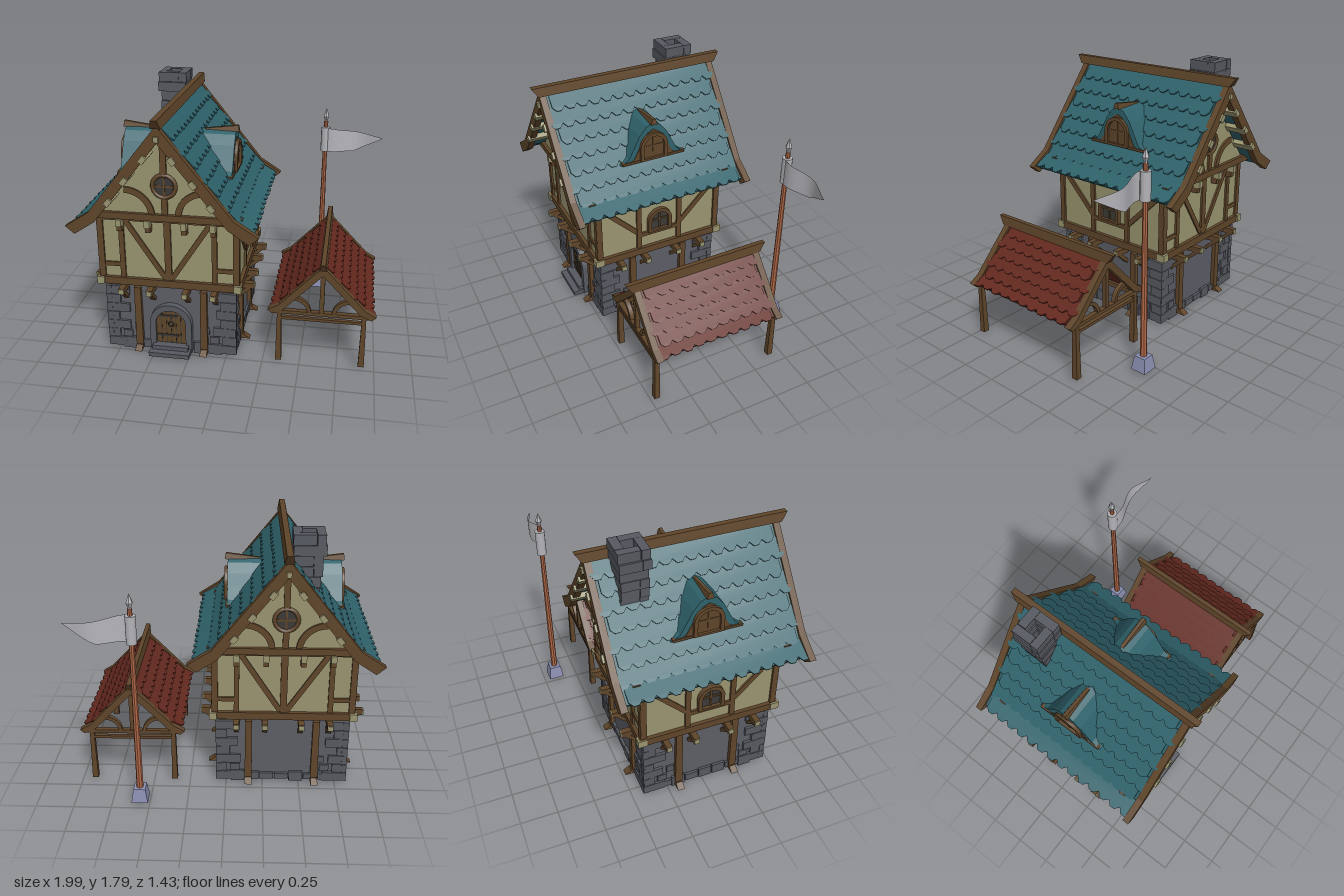
import * as THREE from 'three';

const mat = (name, color, side = THREE.FrontSide) => {
  const m = new THREE.MeshStandardMaterial({ color, side });
  m.name = name;
  return m;
};

export function createModel() {
  const teal = mat('teal tiles', 0x2f626b), red = mat('red tiles', 0x64291f), wood = mat('timber', 0x5f452a),
    cream = mat('plaster', 0x99946f), panel = mat('stone wall', 0x5c5e66), stone = mat('stone blocks', 0x565960),
    copper = mat('pole wood', 0xb06848), silver = mat('flag cloth', 0xb4b4ba, THREE.DoubleSide),
    lilac = mat('pole foot', 0x8a8eb0), dark = mat('dark glass', 0x3b3a37);
  let seed = 7;
  const rnd = () => (seed = (seed * 16807) % 2147483647) / 2147483647;

  const root = new THREE.Group();
  root.name = 'timberHouse';
  const group = (name, parent, x = 0, y = 0, z = 0, ry = 0) => {
    const g = new THREE.Group();
    g.name = name; g.position.set(x, y, z); g.rotation.y = ry;
    parent.add(g);
    return g;
  };
  const add = (parent, name, geo, m, x = 0, y = 0, z = 0) => {
    const o = new THREE.Mesh(geo, m);
    o.name = name; o.position.set(x, y, z);
    parent.add(o);
    return o;
  };
  const box = (p, name, m, w, h, d, x, y, z) => add(p, name, new THREE.BoxGeometry(w, h, d), m, x, y, z);
  // box whose top is scaled by tx, tz; origin at its foot
  const taper = (p, name, m, w, h, d, tx, tz, x, y, z) => {
    const g = new THREE.BoxGeometry(w, h, d).translate(0, h / 2, 0), a = g.attributes.position;
    for (let i = 0; i < a.count; i++) if (a.getY(i) > h / 2) a.setXYZ(i, a.getX(i) * tx, h, a.getZ(i) * tz);
    g.computeVertexNormals();
    return add(p, name, g, m, x, y, z);
  };
  // timber lying on a wall plane from one point to another
  const bar = (p, name, x1, y1, x2, y2, w = 0.035, t = 0.03, m = wood, z = 0) => {
    const o = box(p, name, m, w, Math.hypot(x2 - x1, y2 - y1), t, (x1 + x2) / 2, (y1 + y2) / 2, z);
    o.rotation.z = -Math.atan2(x2 - x1, y2 - y1);
    return o;
  };
  const extrude = (shape, depth) => new THREE.ExtrudeGeometry(shape, { depth, bevelEnabled: false, curveSegments: 10 });
  const poly = pts => new THREE.Shape(pts.map(p => new THREE.Vector2(p[0], p[1])));
  const mirrored = pts => [...pts, ...pts.filter(p => p[0] !== 0).reverse().map(p => [-p[0], p[1]])];
  const arc = (p, name, cx, cy, r, w, a0, a1, t = 0.03, z = -0.015) => {
    const s = new THREE.Shape().absarc(cx, cy, r + w / 2, a0, a1, false);
    s.absarc(cx, cy, r - w / 2, a1, a0, true);
    return add(p, name, extrude(s, t), wood, 0, 0, z);
  };
  const archPath = (S, hw, y0, ySpring) => {
    const s = new S();
    s.moveTo(-hw, y0); s.lineTo(hw, y0); s.lineTo(hw, ySpring);
    s.absarc(0, ySpring, hw, 0, Math.PI, false);
    s.lineTo(-hw, y0);
    return s;
  };
  const archFrame = (p, name, m, hw, y0, ySpring, rim, t, z) => {
    const s = archPath(THREE.Shape, hw, y0, ySpring);
    s.holes.push(archPath(THREE.Path, hw - rim, y0 + rim * 0.6, ySpring));
    return add(p, name, extrude(s, t), m, 0, 0, z);
  };
  const archWindow = (p, hw, y0, ySpring, z) => {
    archFrame(p, 'windowFrame', wood, hw, y0, ySpring, 0.025, 0.03, z);
    add(p, 'windowGlass', extrude(archPath(THREE.Shape, hw - 0.02, y0 + 0.005, ySpring), 0.008), dark, 0, 0, z);
    bar(p, 'windowBar', 0, y0, 0, ySpring + hw - 0.02, 0.012, 0.012, wood, z + 0.01);
    bar(p, 'windowBar', -hw + 0.02, ySpring, hw - 0.02, ySpring, 0.012, 0.012, wood, z + 0.01);
  };

  // Roof: slab, overlapping scalloped tile rows, end boards and ridge
  const roof = (p, m, o) => {
    const slab = poly([...mirrored([...o.outer].reverse()), ...mirrored([...o.inner].reverse()).reverse()]);
    add(p, 'roofSlab', extrude(slab, o.half * 2), m, 0, 0, -o.half);
    const board = poly([...mirrored([...o.rakeOuter].reverse()), ...mirrored([...o.rakeInner].reverse()).reverse()]);
    for (const s of [-1, 1]) add(p, 'endBoard', extrude(board, 0.045), wood, 0, 0, s * (o.half + 0.018) - 0.0225);
    const [a, b, c] = o.outer.map(q => new THREE.Vector2(q[0], q[1]));
    const l1 = a.distanceTo(b), len = l1 + b.distanceTo(c), h = len / o.rows, w = o.half * 2 / o.cols;
    for (const s of [-1, 1]) for (let i = 0; i < o.rows; i++) {
      const d = (i + 0.5) * h, upper = d < l1;
      const pt = upper ? a.clone().lerp(b, d / l1) : b.clone().lerp(c, (d - l1) / (len - l1));
      const dir = (upper ? b.clone().sub(a) : c.clone().sub(b)).normalize();
      const pts = [[o.half, h * 0.55], [-o.half, h * 0.55]];
      for (let k = 0; k < o.cols; k++) {
        const z = -o.half + k * w, j = rnd() * 0.008;
        pts.push([z + 0.001, -h * 0.42], [z + w * 0.3, -h * 0.65 - j], [z + w * 0.7, -h * 0.65 - j], [z + w * 0.999, -h * 0.42]);
      }
      const row = add(p, 'tileRow', extrude(poly(pts), 0.01), m);
      row.matrix.makeBasis(new THREE.Vector3(0, 0, -s), new THREE.Vector3(-s * dir.x, -dir.y, 0), new THREE.Vector3(-s * dir.y, dir.x, 0));
      row.quaternion.setFromRotationMatrix(row.matrix);
      row.position.set(s * pt.x, pt.y, (i % 2 ? 1 : -1) * w / 4);
      row.rotateX(-0.09);
    }
    taper(p, 'ridgeBeam', wood, o.ridgeW, 0.06, o.half * 2 + 0.1, 0.6, (o.half + 0.09) / (o.half + 0.05), 0, o.ridgeY, 0);
  };

  const house = group('house', root, -0.38, 0, 0.025);

  // Ground floor
  box(house, 'stoneWalls', panel, 0.86, 0.5, 0.86, 0, 0.25, 0);
  for (let f = 0; f < 4; f++) {
    const side = f % 2, px = side ? 0.2 : 0.227;
    const g = group('groundFace', house, 0, 0, 0, f * Math.PI / 2);
    for (const s of [-1, 1]) {
      taper(g, 'wallPost', wood, 0.05, 0.47, 0.04, 0.9, 0.9, s * px, 0, 0.44);
      taper(g, 'postFoot', wood, 0.05, 0.03, 0.14, 0.9, 0.4, s * px, 0, 0.44);
      // corner stones and low courses
      for (let i = 0; i < 7; i++) {
        const w = (i % 2 ? 0.07 : 0.13) + rnd() * 0.04, t = 0.03 + rnd() * 0.012;
        box(g, 'cornerStone', stone, w, 0.064, t, s * (0.45 - w / 2), 0.033 + i * 0.067, 0.43);
        if (i < 3) box(g, 'innerStone', stone, 0.08 - i * 0.015, 0.05, 0.024, s * (0.44 - w - 0.045), 0.03 + i * 0.067, 0.43);
      }
    }
    for (let i = 0; i < 7; i++) {
      const x = -0.3 + i * 0.1;
      box(g, 'baseStone', stone, 0.092, 0.04 + rnd() * 0.05, 0.03 + rnd() * 0.01, x, 0.03, 0.43);
    }
    // joist ends with braces, carrying the upper floor
    for (const x of [-0.31, -0.12, 0.12, 0.31]) {
      box(g, 'joist', wood, 0.04, 0.04, 0.15, x, 0.48, 0.475);
      box(g, 'joistEnd', cream, 0.036, 0.036, 0.008, x, 0.48, 0.552);
      const b = box(g, 'joistBrace', wood, 0.032, 0.12, 0.025, x, 0.425, 0.475);
      b.rotation.x = 0.85;
    }
  }

  // Door and steps
  const door = group('door', house, 0, 0, 0.43);
  add(door, 'doorLeaf', extrude(archPath(THREE.Shape, 0.11, 0.05, 0.23), 0.025), wood);
  archFrame(door, 'doorSurround', stone, 0.145, 0.0, 0.215, 0.042, 0.045, 0);
  for (const x of [-0.066, -0.033, 0, 0.033, 0.066]) bar(door, 'plankGap', x, 0.06, x, 0.315, 0.004, 0.006, dark, 0.025);
  for (const y of [0.12, 0.27]) bar(door, 'hinge', -0.1, y, 0.05, y, 0.014, 0.008, dark, 0.027);
  add(door, 'doorRing', new THREE.TorusGeometry(0.018, 0.005, 6, 12), dark, 0, 0.21, 0.031);
  [[0.28, 0.03, 0.125], [0.25, 0.06, 0.08]].forEach(([w, h, d]) => box(door, 'step', stone, w, h, d, 0, h / 2, d / 2));

  // Upper floor with timber framing
  box(house, 'upperWalls', cream, 0.92, 0.52, 0.92, 0, 0.75, 0);
  for (let f = 0; f < 4; f++) {
    const side = f % 2, g = group('upperFace', house, 0, 0, 0.46, f * Math.PI / 2);
    g.position.set([0, 0.46, 0, -0.46][f], 0, [0.46, 0, -0.46, 0][f]);
    bar(g, 'sillBeam', -0.48, 0.527, 0.48, 0.527, 0.052, 0.05);
    bar(g, 'topBeam', -0.47, 0.985, 0.47, 0.985, 0.04);
    for (const s of [-1, 1]) {
      bar(g, 'cornerPost', s * 0.453, 0.5, s * 0.453, 1, 0.04);
      if (side) {
        bar(g, 'studPost', s * 0.155, 0.55, s * 0.155, 0.98);
        bar(g, 'diagonalBrace', s * 0.44, 0.965, s * 0.165, 0.685, 0.035, 0.024);
      } else {
        box(g, 'sillEnd', cream, 0.05, 0.052, 0.06, s * 0.465, 0.527, 0.005);
        bar(g, 'studPost', s * 0.31, 0.55, s * 0.31, 0.98);
        bar(g, 'diagonalBrace', s * 0.29, 0.98, s * 0.02, 0.56, 0.035, 0.024);
        bar(g, 'shortRail', s * 0.44, 0.645, s * 0.31, 0.645, 0.03, 0.024);
      }
    }
    if (side) {
      archWindow(g, 0.09, 0.67, 0.76, 0);
      bar(g, 'windowRail', -0.155, 0.66, 0.155, 0.66, 0.03);
    } else {
      bar(g, 'centerPost', 0, 0.55, 0, 0.98, 0.045);
      for (const x of [-0.31, -0.12, 0.12, 0.31]) {
        box(g, 'bracketEnd', cream, 0.036, 0.05, 0.05, x, 0.965, 0.04);
        box(g, 'bracket', wood, 0.036, 0.045, 0.05, x, 0.925, 0.02);
      }
    }
  }

  // Gable storey
  add(house, 'gableWall', extrude(poly([[-0.46, 1], [0.46, 1], [0.43, 1.03], [0, 1.575], [-0.43, 1.03]]), 1), cream, 0, 0, -0.5);
  for (const f of [0, 1]) {
    const g = group('gableFace', house, 0, 0, f ? -0.5 : 0.5, f * Math.PI);
    bar(g, 'gableBeam', -0.5, 1.018, 0.5, 1.018, 0.045, 0.05);
    bar(g, 'kingPost', 0, 1.31, 0, 1.56, 0.04);
    bar(g, 'kingPostFoot', 0, 1.04, 0, 1.15, 0.04);
    add(g, 'roundWindowFrame', new THREE.TorusGeometry(0.075, 0.014, 6, 20), wood, 0, 1.23, 0.005);
    add(g, 'roundWindowGlass', new THREE.CircleGeometry(0.07, 20), dark, 0, 1.23, 0.006);
    bar(g, 'roundWindowBar', 0, 1.16, 0, 1.3, 0.012, 0.02);
    bar(g, 'roundWindowBar', -0.07, 1.23, 0.07, 1.23, 0.012, 0.02);
    arc(g, 'curvedBrace', 0.26, 1.02, 0.175, 0.04, Math.PI / 2, Math.PI);
    arc(g, 'curvedBrace', -0.26, 1.02, 0.175, 0.04, 0, Math.PI / 2);
  }

  // Main roof with purlin ends
  roof(house, teal, {
    outer: [[0, 1.64], [0.465, 1.05], [0.57, 0.98]], inner: [[0, 1.6], [0.445, 1.03], [0.555, 0.955]],
    rakeOuter: [[0, 1.66], [0.465, 1.075], [0.62, 0.975]], rakeInner: [[0, 1.55], [0.425, 1.015], [0.56, 0.925]],
    half: 0.6, rows: 8, cols: 14, ridgeW: 0.065, ridgeY: 1.642,
  });
  for (const e of [-1, 1]) {
    box(house, 'ridgePurlin', cream, 0.03, 0.035, 0.16, 0, 1.575, e * 0.575);
    for (const s of [-1, 1]) for (const [x, y] of [[0.09, 1.445], [0.215, 1.3], [0.325, 1.155]]) {
      const b = box(house, 'purlinEnd', cream, 0.05, 0.035, 0.16, s * x, y, e * 0.575);
      b.rotation.z = -s * 0.9;
    }
  }

  // Dormers
  const bell = [[0.24, 1.2], [0.18, 1.235], [0.14, 1.31], [0.1, 1.39], [0.05, 1.45], [0, 1.475]];
  for (const s of [-1, 1]) {
    const d = group('dormer', house, 0, 0, 0, s * Math.PI / 2);
    add(d, 'dormerRoof', extrude(poly(mirrored(bell)), 0.27), teal, 0, 0, 0.11);
    add(d, 'dormerFront', extrude(poly(mirrored(bell.map(([x, y]) => [x * 0.78, 1.2 + (y - 1.2) * 0.82]))), 0.008), wood, 0, 0, 0.376);
    archWindow(d, 0.1, 1.205, 1.305, 0.372);
    bar(d, 'dormerSill', -0.23, 1.207, 0.23, 1.207, 0.016, 0.03, wood, 0.375);
    const cap = taper(d, 'dormerCap', wood, 0.045, 0.04, 0.23, 0.5, 1, 0, 1.45, 0.285);
    cap.rotation.x = -0.13;
  }

  // Chimney: hollow courses of blocks
  const chimney = group('chimney', house, -0.13, 0, -0.395);
  for (let i = 0; i < 7; i++) {
    const c = group('course', chimney, 0.018 - i * 0.003 + (rnd() - 0.5) * 0.012, 1.3 + i * 0.068, (rnd() - 0.5) * 0.01, i % 2 * Math.PI / 2);
    const r = i > 4 ? 0.1 : 0.088, t = 0.06;
    for (let k = 0; k < 4; k++) {
      const q = group('courseSide', c, 0, 0, 0, k * Math.PI / 2);
      box(q, 'chimneyBlock', stone, 2 * r - t, 0.065, t - rnd() * 0.008, -t / 2, 0.034, r - t / 2);
    }
  }

  // Open shelter beside the house
  const shed = group('shelter', root, 0.635, 0, 0.025);
  roof(shed, red, {
    outer: [[0, 0.705], [0.285, 0.41], [0.325, 0.385]], inner: [[0, 0.68], [0.27, 0.395], [0.315, 0.368]],
    rakeOuter: [[0, 0.725], [0.285, 0.425], [0.355, 0.385]], rakeInner: [[0, 0.66], [0.255, 0.39], [0.325, 0.36]],
    half: 0.42, rows: 6, cols: 10, ridgeW: 0.05, ridgeY: 0.7,
  });
  for (const e of [-1, 1]) {
    const t = group('truss', shed, 0, 0, e * 0.435);
    bar(t, 'tieBeam', -0.33, 0.372, 0.33, 0.372, 0.024, 0.035);
    bar(t, 'lowerRail', -0.285, 0.325, 0.285, 0.325, 0.02, 0.025);
    bar(t, 'kingPost', 0, 0.38, 0, 0.69, 0.03);
    for (const s of [-1, 1]) taper(t, 'shelterPost', wood, 0.04, 0.37, 0.04, 0.7, 0.8, s * 0.278, 0, 0);
    arc(t, 'curvedBrace', 0.185, 0.37, 0.105, 0.024, Math.PI / 2, Math.PI);
    arc(t, 'curvedBrace', -0.185, 0.37, 0.105, 0.024, 0, Math.PI / 2);
  }
  for (const s of [-1, 1]) box(shed, 'sidePlate', wood, 0.03, 0.03, 0.87, s * 0.278, 0.37, 0);

  // Flagpole
  const pole = group('flagpole', root, 0.565, 0, -0.66);
  taper(pole, 'poleFoot', lilac, 0.11, 0.095, 0.11, 0.72, 0.72, 0, 0, 0);
  const shaft = new THREE.CylinderGeometry(0.015, 0.023, 1.28, 8).toNonIndexed();
  shaft.computeVertexNormals();
  add(pole, 'shaft', shaft, copper, 0, 0.73, 0);
  const tip = new THREE.LatheGeometry([[0.012, 0], [0.012, 0.02], [0.023, 0.045], [0.001, 0.105]].map(p => new THREE.Vector2(...p)), 6).toNonIndexed();
  tip.computeVertexNormals();
  add(pole, 'finial', tip, silver, 0, 1.36, 0);
  add(pole, 'flagSleeve', new THREE.CylinderGeometry(0.034, 0.034, 0.185, 12), silver, 0, 1.232, 0);
  const cloth = new THREE.PlaneGeometry(1, 1, 20, 4), a = cloth.attributes.position;
  for (let i = 0; i < a.count; i++) {
    const u = a.getX(i) + 0.5, v = a.getY(i) + 0.5;
    const top = 1.325 - 0.065 * u, low = 1.14 + 0.12 * Math.pow(Math.max(0, (u - 0.5) / 0.5), 1.1);
    a.setXYZ(i, 0.425 * u, low + (top - low) * v, 0.03 * Math.sin(u * 6.5 + 0.9) * (1 - 0.2 * u));
  }
  cloth.computeVertexNormals();
  add(pole, 'flag', cloth, silver);

  return root;
}
